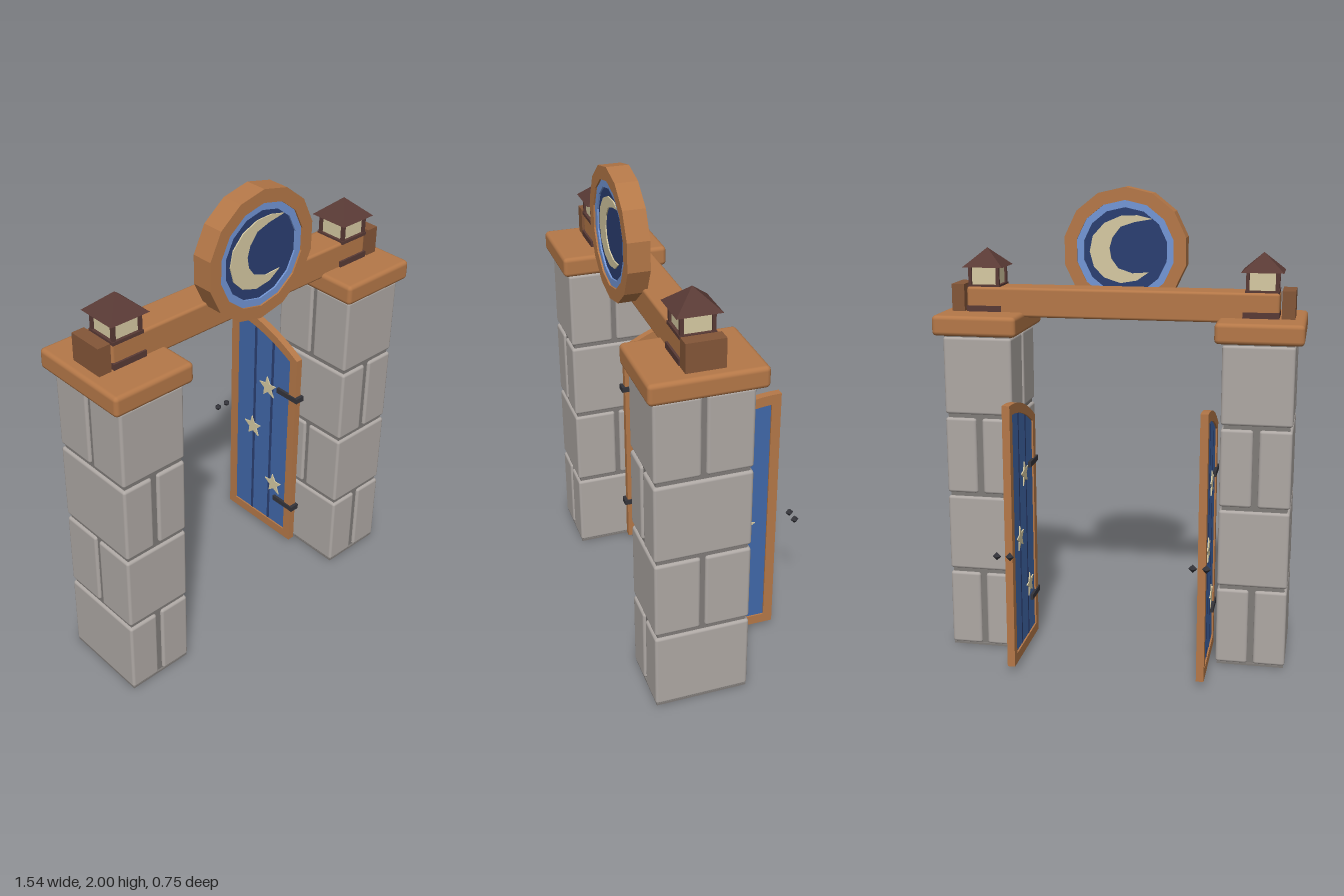
import * as THREE from 'three';
import { RoundedBoxGeometry } from 'three/addons/geometries/RoundedBoxGeometry.js';

const paint = (name, color) => {
  const m = new THREE.MeshStandardMaterial({ color });
  m.name = name;
  return m;
};

export function createModel() {
  const stone = paint('stone', 0xaea8a4);
  const mortar = paint('mortar', 0x807c79);
  const wood = paint('wood', 0xb57848);
  const darkWood = paint('darkWood', 0x845638);
  const roofBrown = paint('roofBrown', 0x593a35);
  const cream = paint('cream', 0xd6caa2);
  const navy = paint('navy', 0x2b3f72);
  const blue = paint('blue', 0x4168aa);
  const lightBlue = paint('lightBlue', 0x7396d6);
  const iron = paint('iron', 0x34343a);

  const model = new THREE.Group();
  model.name = 'gateway';

  const group = (name, parent = model) => {
    const g = new THREE.Group();
    g.name = name;
    parent.add(g);
    return g;
  };
  const add = (parent, name, geometry, material, x = 0, y = 0, z = 0) => {
    const mesh = new THREE.Mesh(geometry, material);
    mesh.name = name;
    mesh.position.set(x, y, z);
    parent.add(mesh);
    return mesh;
  };
  // Boxes given by their centre and size; r rounds the edges
  const box = (parent, name, mat, [x, y, z], [w, h, d], r = 0) =>
    add(parent, name, r ? new RoundedBoxGeometry(w, h, d, 2, r) : new THREE.BoxGeometry(w, h, d), mat, x, y, z);
  // Flat shape extruded evenly to both sides of its plane
  const slab = (shape, depth) =>
    new THREE.ExtrudeGeometry(shape, { depth, bevelEnabled: false }).translate(0, 0, -depth / 2);
  const toShape = pts => new THREE.Shape(pts.map(p => new THREE.Vector2(...p)));

  const PX = 0.5875, PZ = 0.155; // pillar centre

  // Stone pillar: rows split alternately across x and z around a mortar core
  function addPillar(side) {
    const g = group(side > 0 ? 'leftPillar' : 'rightPillar');
    const cx = side * PX;
    box(g, 'mortarCore', mortar, [cx, 0.703, PZ], [0.272, 1.386, 0.366]);
    for (let row = 0; row < 4; row++) {
      const y = 0.175 + row * 0.3485;
      for (const s of [-1, 1]) {
        if (row % 2 === 0) box(g, 'stoneBlock', stone, [cx + s * 0.08, y, PZ], [0.135, 0.332, 0.39], 0.012);
        else box(g, 'stoneBlock', stone, [cx, y, PZ + s * 0.102], [0.295, 0.332, 0.185], 0.012);
      }
    }
    for (const [w, d, y] of [[0.285, 0.38, 0.0045], [0.285, 0.38, 1.391]])
      for (const s of [-1, 1]) {
        box(g, 'mortarRim', mortar, [cx, y, PZ + s * (d / 2 - 0.006)], [w, 0.009, 0.012]);
        box(g, 'mortarRim', mortar, [cx + s * (w / 2 - 0.006), y, PZ], [0.012, 0.009, d]);
      }
    box(g, 'capstone', wood, [side * 0.59, 1.438, 0.148], [0.36, 0.086, 0.455], 0.018);
    box(g, 'beamSaddle', roofBrown, [side * 0.585, 1.493, 0.15], [0.15, 0.026, 0.158]);
    box(g, 'beamStop', darkWood, [side * 0.697, 1.537, 0.15], [0.055, 0.118, 0.153]);
  }

  // Lantern with glass, corner posts and a pyramid roof
  function addLantern(side) {
    const g = group(side > 0 ? 'leftLantern' : 'rightLantern');
    g.position.set(side * PX, 0, PZ);
    box(g, 'lanternBase', roofBrown, [0, 1.586, 0], [0.14, 0.014, 0.14]);
    box(g, 'lanternGlass', cream, [0, 1.628, 0], [0.115, 0.075, 0.115]);
    for (const x of [-1, 1])
      for (const z of [-1, 1])
        box(g, 'lanternPost', roofBrown, [x * 0.06, 1.627, z * 0.06], [0.014, 0.08, 0.014]);
    const roof = new THREE.ConeGeometry(0.087 * Math.SQRT2, 0.078, 4).rotateY(Math.PI / 4).toNonIndexed();
    roof.computeVertexNormals();
    add(g, 'lanternRoof', roof, roofBrown, 0, 1.706, 0);
  }

  // Door leaf, drawn as (z, y) and swung open towards the back
  const archY = (z, drop) => 1.155 - drop - 0.75 * (z + 0.28) ** 2;
  const leafPoints = (z0, z1, bottom, drop) => {
    const pts = [[z0, bottom], [z1, bottom]];
    for (let i = 0; i <= 10; i++) {
      const z = z1 + (z0 - z1) * i / 10;
      pts.push([z, archY(z, drop)]);
    }
    return pts;
  };
  const starPoints = Array.from({ length: 10 }, (_, i) => {
    const a = Math.PI / 2 + 0.12 + i * Math.PI / 5, r = i % 2 ? 0.024 : 0.055;
    return [r * Math.cos(a), r * Math.sin(a)];
  });
  function addDoor(side) {
    const g = group(side > 0 ? 'leftDoor' : 'rightDoor');
    g.position.x = side * 0.4;
    const plate = (shape, depth) => slab(shape, depth).rotateY(-Math.PI / 2);
    const frame = toShape(leafPoints(-0.28, 0.13, 0.025, 0));
    frame.holes.push(toShape(leafPoints(-0.24, 0.09, 0.068, 0.043)));
    add(g, 'doorFrame', plate(frame, 0.032), wood);
    add(g, 'doorPanel', plate(toShape(leafPoints(-0.245, 0.095, 0.063, 0.038)), 0.018), blue);
    for (const z of [-0.13, -0.02]) {
      const h = archY(z, 0.043) - 0.068;
      box(g, 'boardGroove', navy, [0, 0.068 + h / 2, z], [0.021, h, 0.014]);
    }
    for (const s of [-1, 1]) {
      for (const [z, y] of [[-0.045, 0.81], [-0.135, 0.55], [0.01, 0.29]])
        add(g, 'star', plate(toShape(starPoints), 0.006), cream, s * 0.011, y, z);
      add(g, 'doorKnob', new THREE.OctahedronGeometry(0.018), iron, s * 0.027, 0.547, -0.36);
    }
    for (const y of [0.22, 0.83]) box(g, 'hingeStrap', iron, [0, y, 0.082], [0.044, 0.024, 0.125]);
  }

  for (const side of [-1, 1]) {
    addPillar(side);
    addLantern(side);
    addDoor(side);
  }

  // Cross beam
  box(model, 'crossBeam', wood, [0, 1.5225, 0.147], [1.32, 0.125, 0.146], 0.012);

  // Round sign with a moon on both faces
  const sign = group('moonSign');
  sign.position.set(0, 1.734, 0.246);
  const polygon = r => Array.from({ length: 14 }, (_, i) => {
    const a = Math.PI / 2 + i * Math.PI / 7;
    return [r * Math.cos(a), r * Math.sin(a)];
  });
  const ring = (outer, inner) => {
    const s = toShape(polygon(outer));
    s.holes.push(toShape(polygon(inner)));
    return s;
  };
  add(sign, 'signRim', slab(ring(0.266, 0.212), 0.09), wood);
  add(sign, 'signBand', slab(ring(0.214, 0.182), 0.076), lightBlue);
  add(sign, 'signDisc', slab(toShape(polygon(0.184)), 0.062), navy);
  const moon = toShape([
    [0.115, 0.134], [0.05, 0.149], [-0.02, 0.146], [-0.09, 0.116], [-0.14, 0.061], [-0.153, -0.004],
    [-0.135, -0.069], [-0.09, -0.114], [-0.02, -0.136], [0.05, -0.124], [0.1, -0.089],
    [0.03, -0.094], [-0.03, -0.074], [-0.06, -0.034], [-0.068, 0.011], [-0.055, 0.056],
    [-0.02, 0.101], [0.04, 0.121],
  ]);
  for (const s of [-1, 1])
    add(sign, 'moon', slab(moon, 0.008), cream, 0, 0, s * 0.032).rotation.y = s > 0 ? 0 : Math.PI;

  return model;
}
